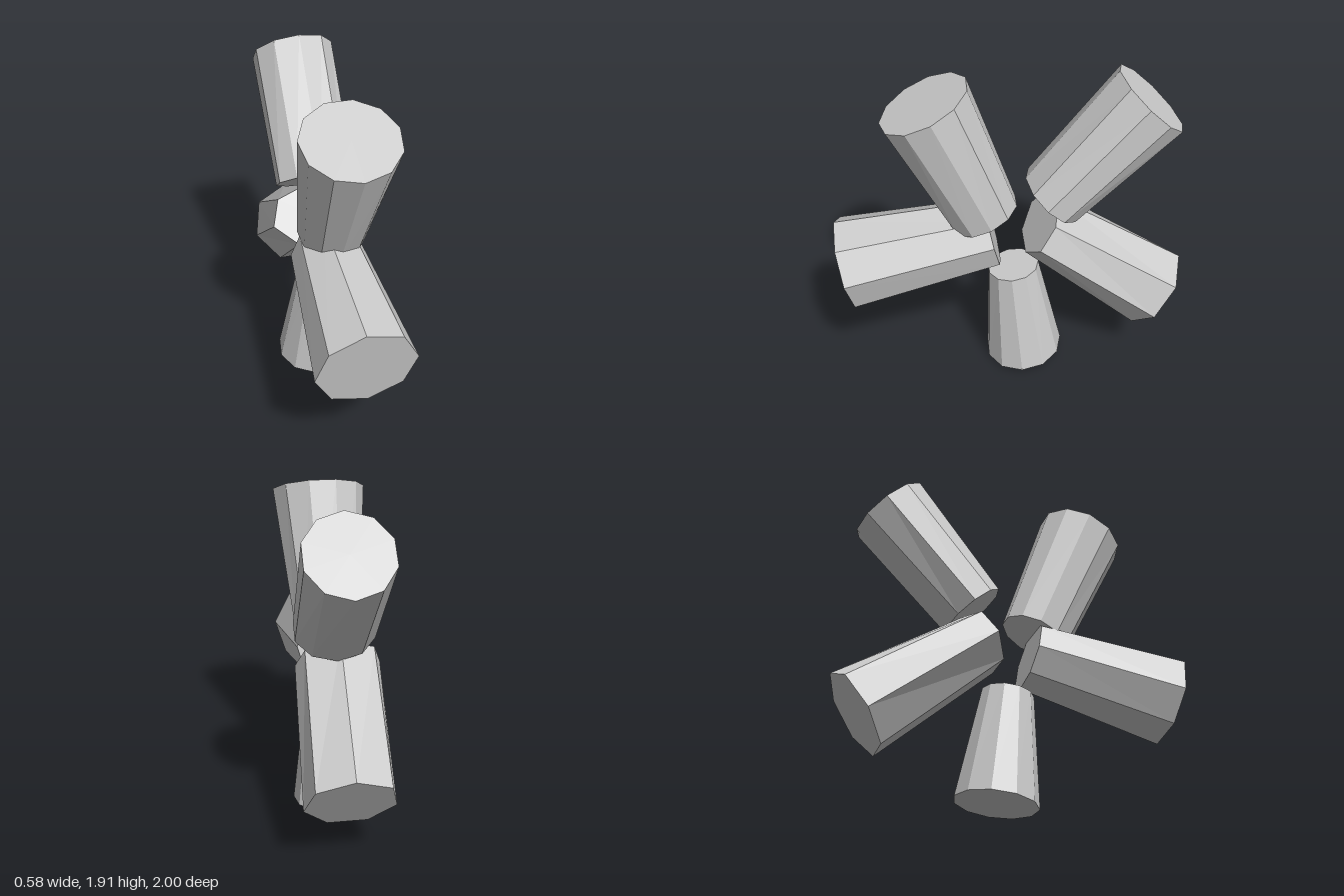
import * as THREE from 'three';

const material = new THREE.MeshStandardMaterial({ color: 0xcccccc, flatShading: true });

// Each end is [z1, y1, z2, y2, x centre, x half width]: the two profile corners
// of the end cap, and its extent across.
const arms = [
  { name: 'upperFrontArm', sides: 11, phase: 0,
    outer: [0.69, 1.67, 0.22, 1.88, 0.03, 0.265], inner: [0.335, 0.97, -0.035, 1.13, 0.02, 0.19] },
  { name: 'upperBackArm', sides: 10, phase: 0,
    outer: [-0.56, 1.91, -0.92, 1.58, 0.03, 0.235], inner: [-0.08, 1.28, -0.37, 1.04, 0.03, 0.23] },
  { name: 'lowerBackArm', sides: 7, phase: 0,
    outer: [-1, 0.67, -0.71, 0.25, 0.03, 0.25], inner: [-0.27, 1.11, -0.065, 0.81, 0, 0.245] },
  { name: 'bottomArm', sides: 11, phase: 0,
    outer: [-0.31, 0.06, 0.15, 0.0, 0.005, 0.247], inner: [-0.16, 0.69, 0.135, 0.65, 0.02, 0.15] },
  { name: 'frontArm', sides: 8, phase: 0.1,
    outer: [0.89, 0.47, 1, 1, -0.015, 0.275], inner: [0.06, 0.71, 0.15, 1.11, 0, 0.2] },
];

// Tapered prism: a unit cylinder whose two rings are moved onto the end caps
function makeArm({ name, sides, phase, outer, inner }) {
  const geometry = new THREE.CylinderGeometry(1, 1, 1, sides, 1, false, phase);
  const pos = geometry.attributes.position;
  for (let i = 0; i < pos.count; i++) {
    const [z1, y1, z2, y2, cx, hw] = pos.getY(i) > 0 ? outer : inner;
    const across = pos.getX(i), along = pos.getZ(i);
    pos.setXYZ(i,
      cx + across * hw,
      (y1 + y2) / 2 + along * (y1 - y2) / 2,
      (z1 + z2) / 2 + along * (z1 - z2) / 2);
  }
  const flat = geometry.toNonIndexed();
  flat.computeVertexNormals();
  const mesh = new THREE.Mesh(flat, material);
  mesh.name = name;
  return mesh;
}

export function createModel() {
  const group = new THREE.Group();
  group.name = 'radialArms';
  for (const arm of arms) group.add(makeArm(arm));
  return group;
}
